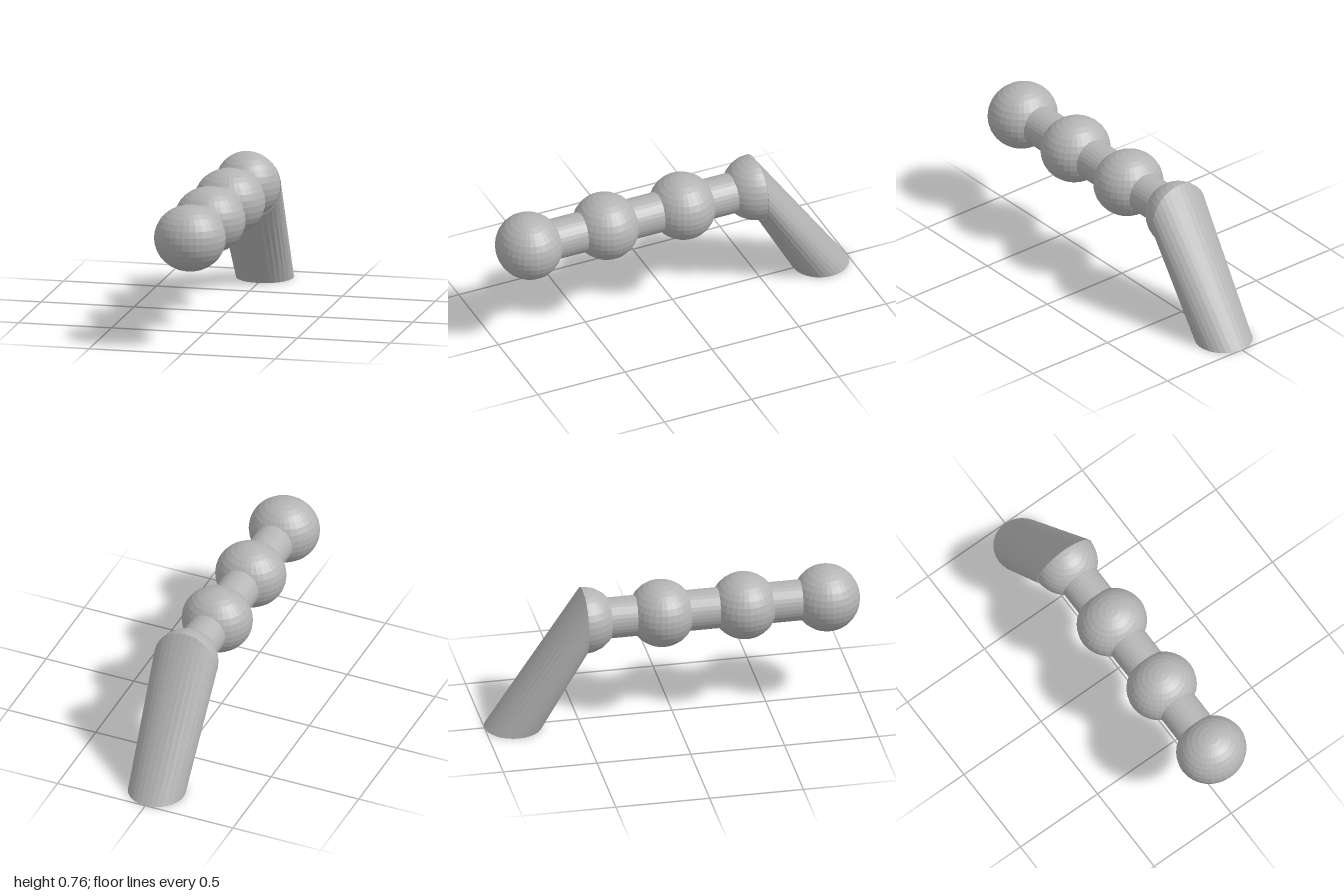
import * as THREE from 'three';

const AXIS_Y = 0.582;
const BEADS = [0.824, 0.384, -0.056];
const JOINT_Z = -0.475;

// Slanted leg: ruled between an upright ellipse at the joint and a flat ellipse on the ground
function legGeometry(sides = 32) {
  const pos = [];
  const top = (a) => [0.177 * Math.cos(a), 0.577 + 0.18 * Math.sin(a), JOINT_Z];
  const foot = (a) => [0.152 * Math.cos(a), 0, -0.847 - 0.153 * Math.sin(a)];
  for (let i = 0; i < sides; i++) {
    const a = (i / sides) * Math.PI * 2, b = ((i + 1) / sides) * Math.PI * 2;
    pos.push(...foot(a), ...foot(b), ...top(a), ...foot(b), ...top(b), ...top(a));
    pos.push(0, 0.577, JOINT_Z, ...top(a), ...top(b));
    pos.push(0, 0, -0.847, ...foot(b), ...foot(a));
  }
  const g = new THREE.BufferGeometry();
  g.setAttribute('position', new THREE.Float32BufferAttribute(pos, 3));
  g.computeVertexNormals();
  return g;
}

export function createModel() {
  const group = new THREE.Group();
  const grey = new THREE.MeshStandardMaterial({ color: 0xb4b4b4, flatShading: true });
  grey.name = 'grey';

  const add = (name, geometry, y = 0, z = 0) => {
    const mesh = new THREE.Mesh(geometry, grey);
    mesh.name = name;
    mesh.position.set(0, y, z);
    group.add(mesh);
  };

  // Row of round beads
  const bead = new THREE.SphereGeometry(1, 32, 16).scale(0.189, 0.176, 0.176);
  BEADS.forEach((z, i) => add(`bead${i + 1}`, bead, AXIS_Y, z));

  // Half bead set against the leg
  const half = new THREE.SphereGeometry(1, 32, 16, 0, Math.PI).scale(0.173, 0.176, 0.177);
  add('halfBead', half, AXIS_Y, JOINT_Z);

  // Necks joining neighbouring beads
  const stops = [...BEADS, JOINT_Z];
  for (let i = 0; i < BEADS.length; i++) {
    const length = stops[i] - stops[i + 1] - 0.16;
    const neck = new THREE.CylinderGeometry(0.108, 0.108, length, 32).rotateX(Math.PI / 2);
    add(`neck${i + 1}`, neck, AXIS_Y, (stops[i] + stops[i + 1]) / 2);
  }

  add('leg', legGeometry());
  return group;
}
